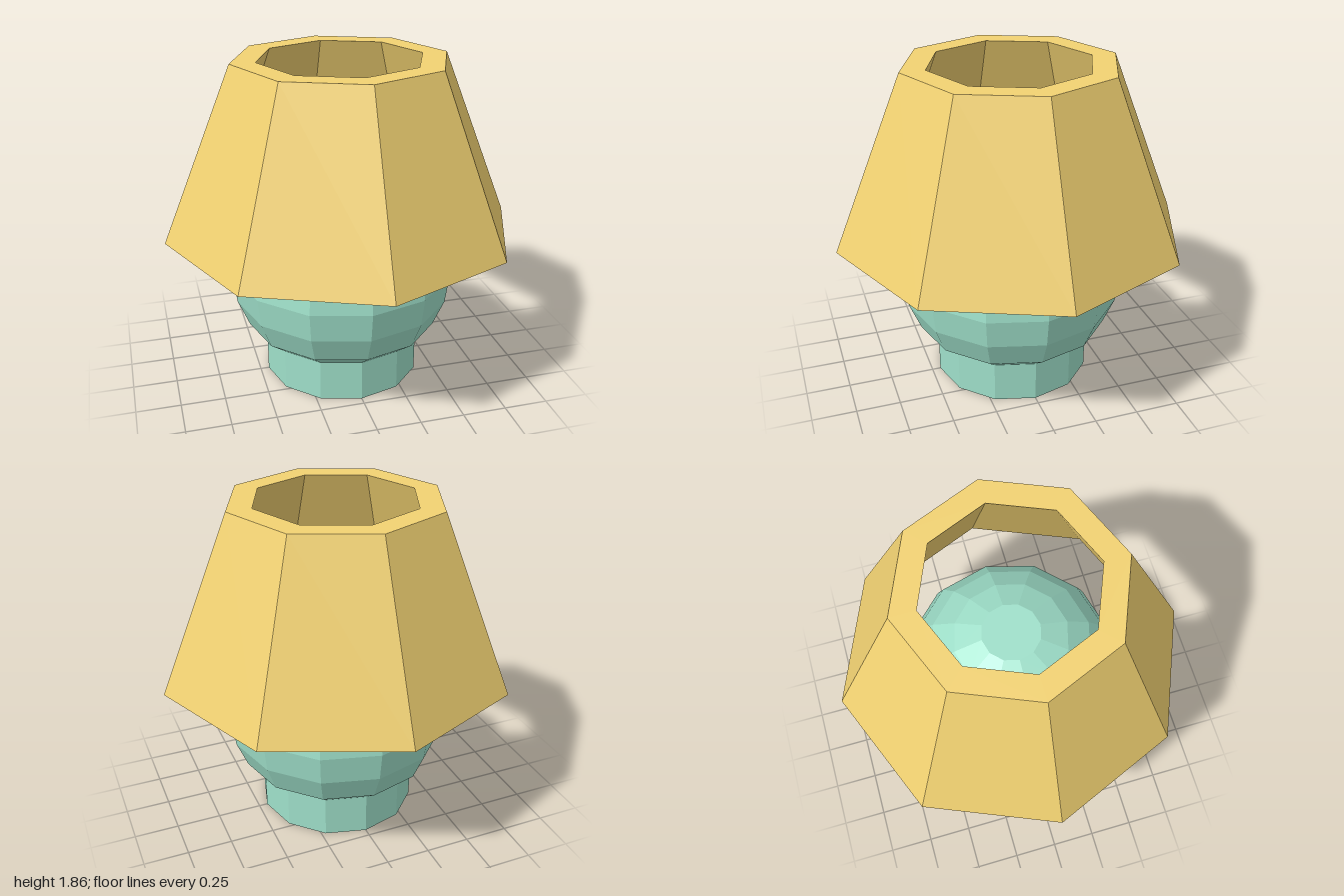
import * as THREE from 'three';

// Faceted solid of revolution; the profile runs counter-clockwise as [radius, height]
function turned(name, profile, sides, color) {
  const points = profile.map(([r, y]) => new THREE.Vector2(r, y));
  const material = new THREE.MeshStandardMaterial({ color, flatShading: true });
  const mesh = new THREE.Mesh(new THREE.LatheGeometry(points, sides), material);
  mesh.name = name;
  return mesh;
}

export function createModel() {
  const lamp = new THREE.Group();
  lamp.name = 'tableLamp';

  // Base: short foot flaring into a round body with a flat cap
  const radius = 0.64, centerY = 0.64;
  const body = [[0, 0], [0.452, 0], [0.452, 0.24]];
  for (let deg = -30; deg <= 75; deg += 15) {
    const a = THREE.MathUtils.degToRad(deg);
    body.push([radius * Math.cos(a), centerY + radius * Math.sin(a)]);
  }
  body.push([0, body.at(-1)[1]]);
  lamp.add(turned('base', body, 12, 0x9fe0ca));

  // Shade: open eight-sided cone with thick walls
  const shade = [[0.86, 0.89], [1, 0.89], [0.6, 1.86], [0.46, 1.86], [0.86, 0.89]];
  lamp.add(turned('shade', shade, 8, 0xf2d272));

  return lamp;
}
